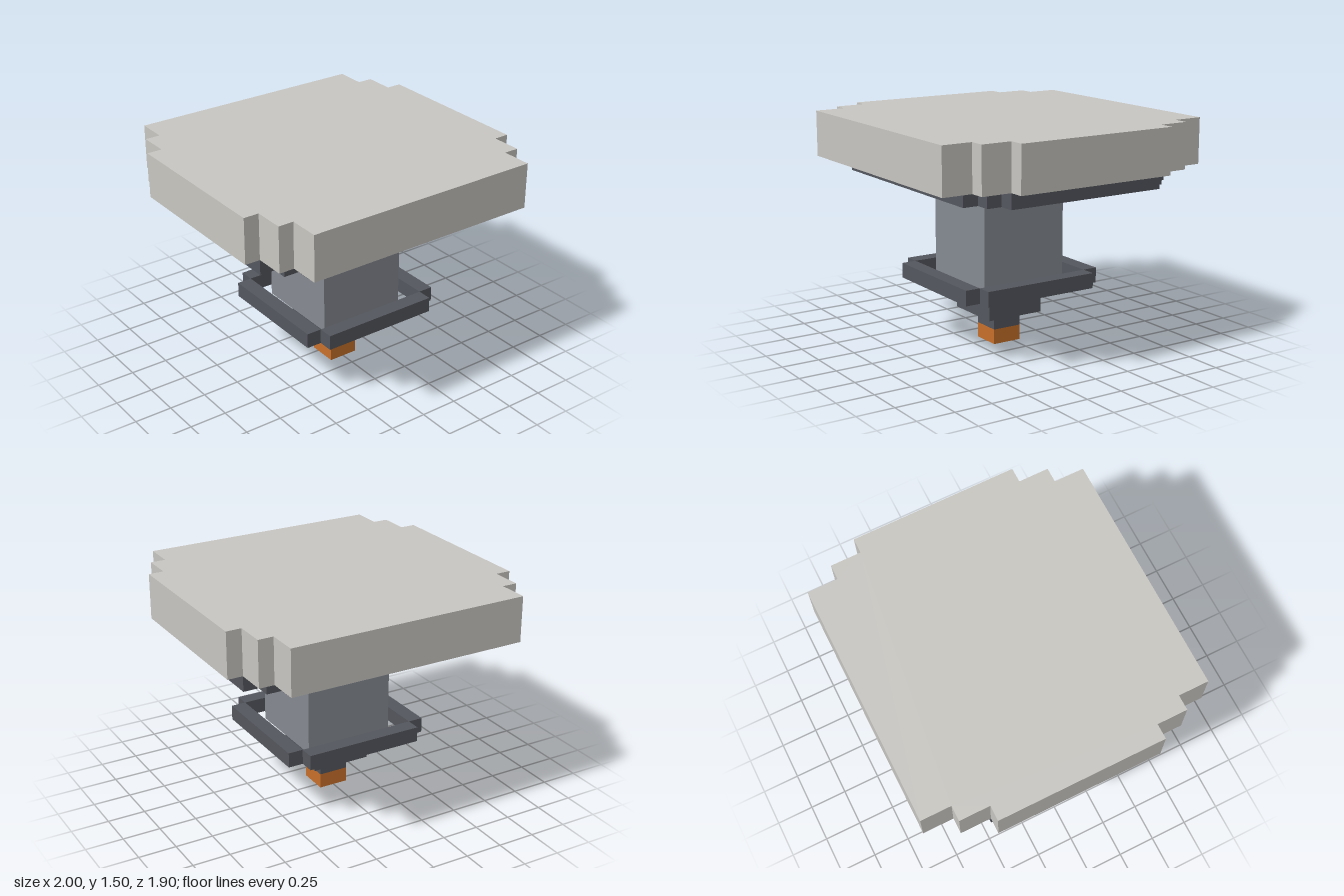
import * as THREE from 'three';

const mat = (name, color) => {
  const m = new THREE.MeshStandardMaterial({ color });
  m.name = name;
  return m;
};

export function createModel() {
  const model = new THREE.Group();
  model.name = 'steppedPedestal';

  const stone = mat('pale stone', 0xc9c7c2);
  const grey = mat('mid grey', 0x868a92);
  const dark = mat('dark grey', 0x54575e);
  const orange = mat('orange', 0xc8702a);

  const add = (name, geometry, material, parent = model) => {
    const mesh = new THREE.Mesh(geometry, material);
    mesh.name = name;
    parent.add(mesh);
    return mesh;
  };

  // Box given by its limits on each axis
  const box = (name, material, [x0, x1], [y0, y1], [z0, z1], parent) => {
    const mesh = add(name, new THREE.BoxGeometry(x1 - x0, y1 - y0, z1 - z0), material, parent);
    mesh.position.set((x0 + x1) / 2, (y0 + y1) / 2, (z0 + z1) / 2);
  };

  // Slab with stair-stepped corners; steps lists [half width, half depth] from widest in x
  const steppedSlab = (name, material, steps, y0, y1) => {
    const quarter = [];
    steps.forEach(([x, z], i) => {
      if (i > 0) quarter.push([x, steps[i - 1][1]]);
      quarter.push([x, z]);
    });
    const back = [...quarter].reverse();
    const outline = [
      ...quarter,
      ...back.map(([x, z]) => [-x, z]),
      ...quarter.map(([x, z]) => [-x, -z]),
      ...back.map(([x, z]) => [x, -z]),
    ].map(([x, z]) => new THREE.Vector2(x, z));
    const geometry = new THREE.ExtrudeGeometry(new THREE.Shape(outline), {
      depth: y1 - y0, bevelEnabled: false,
    });
    geometry.rotateX(-Math.PI / 2).translate(0, y0, 0);
    add(name, geometry, material);
  };

  // Wide top and the thinner plate under it
  steppedSlab('topSlab', stone, [[1, 0.55], [0.9, 0.75], [0.8, 0.95]], 1.2, 1.5);
  steppedSlab('underPlate', dark, [[0.9, 0.55], [0.8, 0.65], [0.7, 0.75]], 1.1, 1.2);

  // Column and the narrowing tip, all set slightly forward
  box('column', grey, [-0.3, 0.3], [0.4, 1.1], [-0.25, 0.35]);
  box('lowerBlock', dark, [-0.2, 0.2], [0.2, 0.4], [-0.15, 0.25]);
  box('tipNeck', dark, [-0.1, 0.1], [0.1, 0.2], [-0.05, 0.15]);
  box('tip', orange, [-0.1, 0.1], [0, 0.1], [-0.05, 0.15]);

  // Floating ring of four bars with open corners
  const ring = new THREE.Group();
  ring.name = 'ring';
  ring.position.z = 0.05;
  model.add(ring);
  for (const s of [-1, 1]) {
    const span = [s * 0.45 - 0.05, s * 0.45 + 0.05];
    box(s > 0 ? 'ringFrontBar' : 'ringBackBar', dark, [-0.4, 0.4], [0.4, 0.5], span, ring);
    box(s > 0 ? 'ringLeftBar' : 'ringRightBar', dark, span, [0.4, 0.5], [-0.4, 0.4], ring);
  }

  return model;
}
